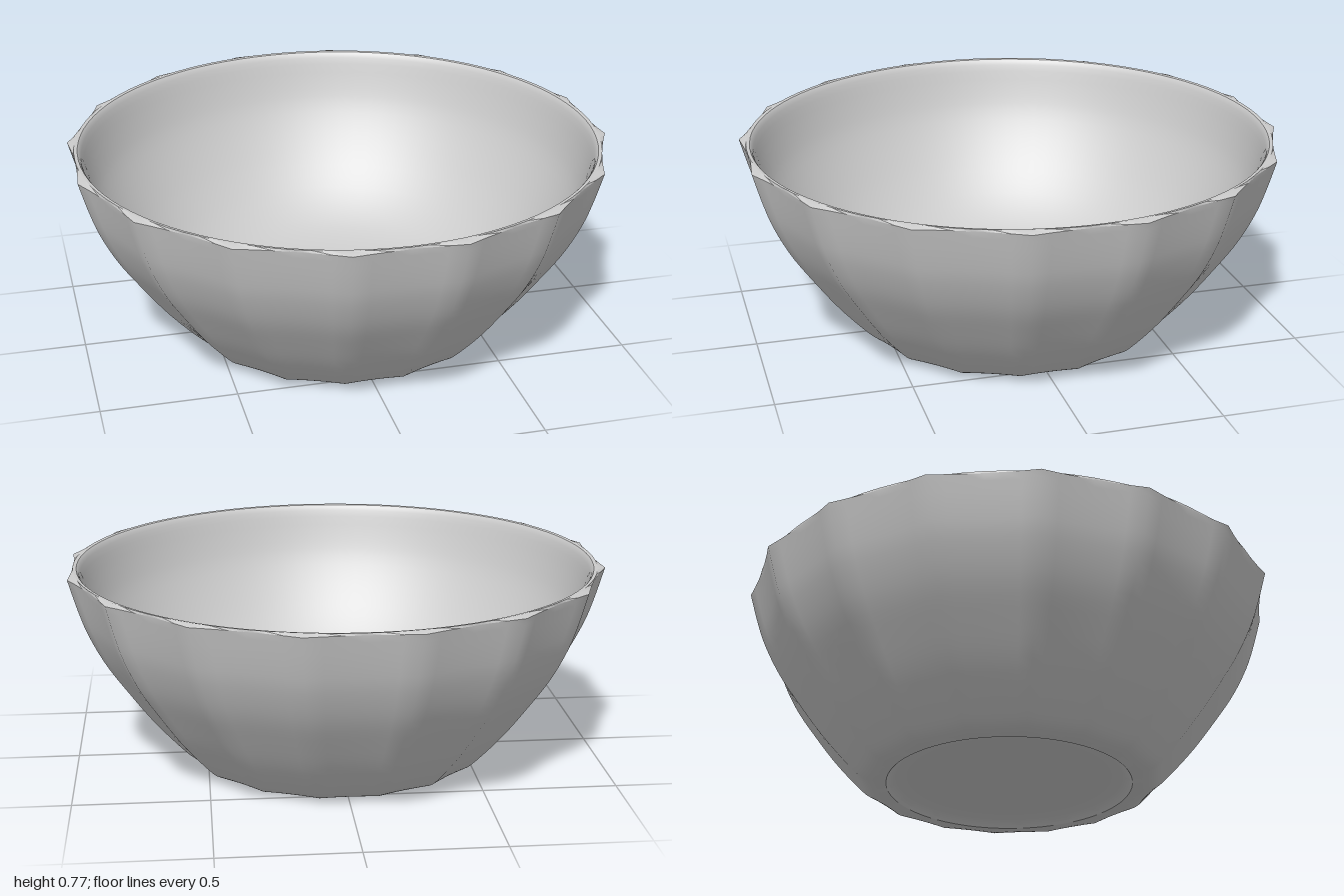
import * as THREE from 'three';
import { toCreasedNormals } from 'three/addons/utils/BufferGeometryUtils.js';

const FACETS = 16;
const STEP = (Math.PI * 2) / FACETS;

// Smooth curve through a few [radius, height] points
function curve(points, divisions) {
  return new THREE.SplineCurve(points.map(([r, y]) => new THREE.Vector2(r, y))).getPoints(divisions);
}

// Radius factor that turns a circle into a polygon with slightly hollow sides
function facetScale(angle) {
  const a = angle - Math.round(angle / STEP) * STEP;
  const t = a / (STEP / 2);
  return (1 - 0.01 * (1 - t * t)) / Math.cos(a);
}

export function createModel() {
  // Recessed underside and foot ring
  const underside = [[0, 0.03], [0.38, 0.03], [0.43, 0.024], [0.455, 0.01], [0.465, 0]]
    .map(([r, y]) => new THREE.Vector2(r, y));
  // Faceted outer wall
  const outer = curve([
    [0.505, 0], [0.545, 0.012], [0.59, 0.05], [0.695, 0.17], [0.79, 0.3],
    [0.87, 0.42], [0.93, 0.54], [0.965, 0.64], [0.998, 0.758],
  ], 28);
  // Thin rim and round inner bowl
  const rim = [new THREE.Vector2(0.988, 0.766)];
  const inner = curve([
    [0.975, 0.764], [0.962, 0.74], [0.935, 0.64], [0.9, 0.54], [0.835, 0.42],
    [0.75, 0.3], [0.64, 0.19], [0.5, 0.11], [0.28, 0.07], [0, 0.06],
  ], 28);

  const profile = [...underside, ...outer, ...rim, ...inner];
  const lathe = new THREE.LatheGeometry(profile, FACETS * 6);

  // Facet the outer wall only
  const pos = lathe.attributes.position;
  const first = underside.length;
  const last = first + outer.length;
  for (let i = 0; i < pos.count; i++) {
    const row = i % profile.length;
    if (row < first || row >= last) continue;
    const x = pos.getX(i), z = pos.getZ(i);
    const s = facetScale(Math.atan2(x, z));
    pos.setX(i, x * s);
    pos.setZ(i, z * s);
  }
  lathe.deleteAttribute('normal');
  lathe.deleteAttribute('uv');

  const material = new THREE.MeshStandardMaterial({ color: 0xcccccc });
  const bowl = new THREE.Mesh(toCreasedNormals(lathe, 0.6), material);
  bowl.name = 'bowl';

  const group = new THREE.Group();
  group.name = 'facetedBowl';
  group.add(bowl);
  return group;
}
